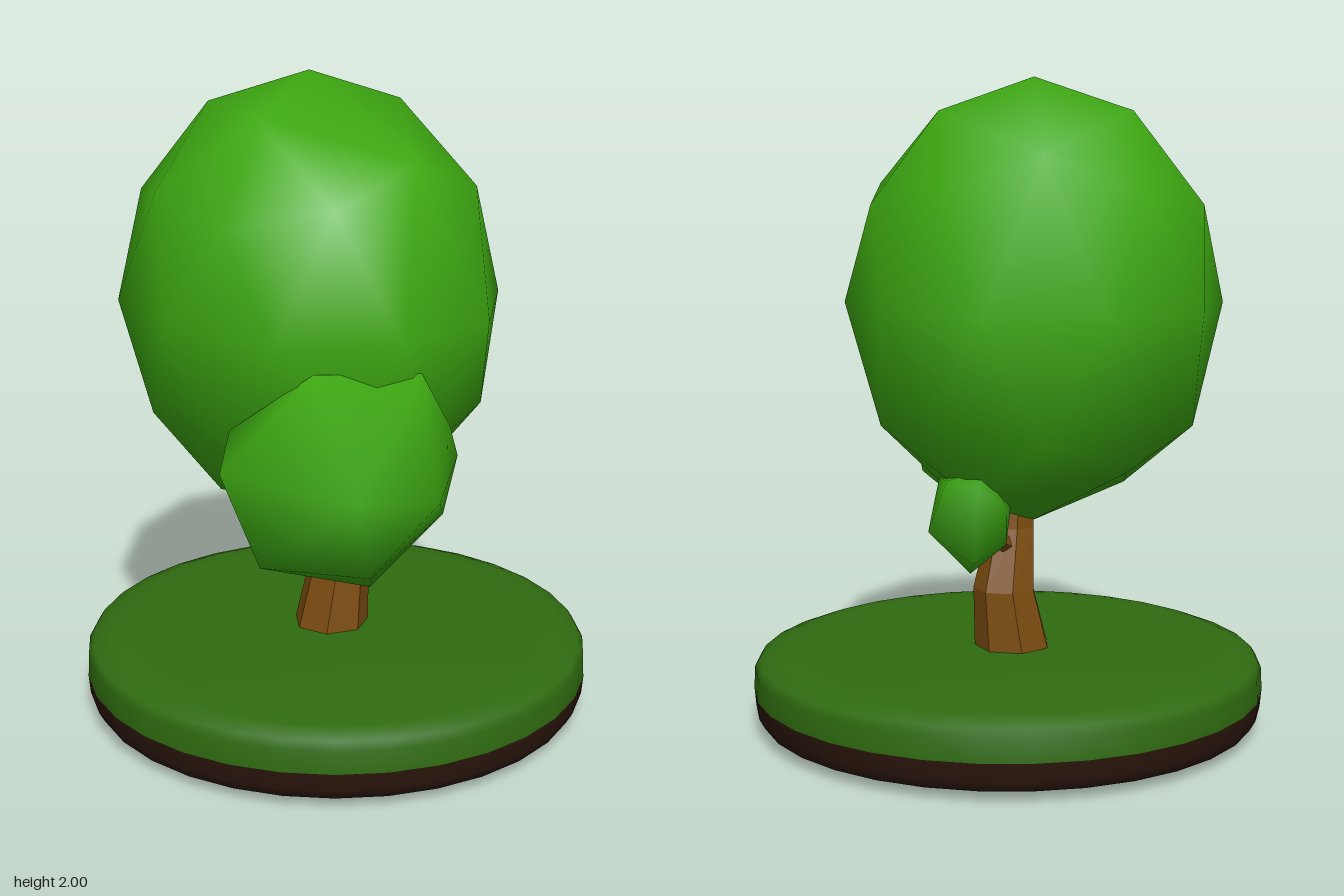
import * as THREE from 'three';
import { mergeVertices } from 'three/addons/utils/BufferGeometryUtils.js';
import { ConvexGeometry } from 'three/addons/geometries/ConvexGeometry.js';

const material = (color, flatShading = false) => new THREE.MeshStandardMaterial({ color, flatShading });
const leaf = material(0x3da811);
const bark = material(0x7d4d10, true);
const grass = material(0x2f6b10);
const soil = material(0x2b160c);

const V = (p) => new THREE.Vector3(...p);

// Weld the corners so that the normals are smooth
function smooth(geometry) {
  geometry.deleteAttribute('normal');
  geometry.deleteAttribute('uv');
  const welded = mergeVertices(geometry, 1e-4);
  welded.computeVertexNormals();
  return welded;
}

// Main crown: a coarse ball with a vertex on top and a few corners collapsed
function crownGeometry() {
  const ball = new THREE.IcosahedronGeometry(1, 1);
  ball.rotateZ(-Math.atan(2 / (1 + Math.sqrt(5))));
  ball.rotateY(THREE.MathUtils.degToRad(3));
  const collapsed = [[0.19, 0.68, -0.71], [0.26, 0.68, 0.69], [-0.26, -0.68, -0.69]].map(V);
  const pos = ball.attributes.position;
  const v = new THREE.Vector3();
  for (let i = 0; i < pos.count; i++) {
    v.fromBufferAttribute(pos, i);
    for (const c of collapsed) {
      if (v.distanceTo(c) < 0.33) v.copy(c);
    }
    pos.setXYZ(i, v.x, v.y, v.z);
  }
  ball.scale(0.575, 0.68, 0.63);
  ball.translate(-0.075, 1.32, -0.025);
  return smooth(ball);
}

// Tapered limb with a polygon section; each ring is [x, y, z, rx, rz]
function limbGeometry(rings, sides) {
  const points = [], index = [];
  rings.forEach(([x, y, z, rx, rz], j) => {
    for (let i = 0; i < sides; i++) {
      const a = ((i + 0.3) / sides) * Math.PI * 2;
      points.push(x + Math.cos(a) * rx, y, z + Math.sin(a) * rz);
      if (j === 0) continue;
      const n = (i + 1) % sides, lo = (j - 1) * sides, hi = j * sides;
      index.push(lo + i, hi + i, lo + n, lo + n, hi + i, hi + n);
    }
  });
  const g = new THREE.BufferGeometry();
  g.setAttribute('position', new THREE.Float32BufferAttribute(points, 3));
  g.setIndex(index);
  g.computeVertexNormals();
  return g;
}

// Straight thin branch between two points
function branchGeometry(from, to, r0, r1) {
  const a = V(from), b = V(to), dir = b.clone().sub(a);
  const g = new THREE.CylinderGeometry(r1, r0, dir.length(), 5);
  g.applyQuaternion(new THREE.Quaternion().setFromUnitVectors(new THREE.Vector3(0, 1, 0), dir.normalize()));
  const mid = a.add(b).multiplyScalar(0.5);
  return g.translate(mid.x, mid.y, mid.z);
}

export function createModel() {
  const tree = new THREE.Group();
  tree.name = 'tree';
  const add = (name, geometry, mat) => {
    const mesh = new THREE.Mesh(geometry, mat);
    mesh.name = name;
    tree.add(mesh);
  };
  const disc = (profile) => new THREE.LatheGeometry(profile.map(([r, y]) => new THREE.Vector2(r, y)), 32);

  // Round base: soil below, turf above
  add('soil', disc([[0, 0], [0.64, 0.01], [0.72, 0.016], [0.77, 0.033], [0.788, 0.065], [0.793, 0.12]]), soil);
  add('turf', disc([[0.793, 0.12], [0.79, 0.19], [0.775, 0.215], [0.72, 0.236], [0.64, 0.243], [0, 0.245]]), grass);

  // Bent trunk and two branches
  add('trunk', limbGeometry([
    [-0.015, 0.22, -0.015, 0.122, 0.12],
    [0.015, 0.43, -0.015, 0.097, 0.102],
    [-0.015, 0.62, 0.005, 0.075, 0.068],
    [-0.03, 0.85, 0.01, 0.06, 0.055],
  ], 7), bark);
  add('frontBranch', branchGeometry([-0.01, 0.55, 0.02], [-0.08, 0.68, 0.28], 0.035, 0.02), bark);
  add('backBranch', branchGeometry([0, 0.56, -0.02], [0.15, 0.65, -0.2], 0.03, 0.018), bark);

  // Foliage
  add('crown', crownGeometry(), leaf);
  const frontBush = [
    [-0.06, 0.53, 0.41], [-0.42, 0.66, 0.45], [-0.15, 0.65, 0.62], [-0.23, 0.91, 0.72],
    [0.05, 0.86, 0.65], [0.17, 0.73, 0.42], [0.2, 0.92, 0.45], [-0.51, 0.93, 0.37],
    [-0.47, 1.05, 0.35], [-0.29, 1.245, 0.54], [0.03, 1.22, 0.56], [0.15, 1.03, 0.5],
    [0.14, 0.75, 0.22], [-0.4, 0.75, 0.22], [-0.02, 0.64, 0.12], [-0.1, 1.1, 0.1],
  ];
  const backBush = [
    [0.17, 0.52, -0.18], [0.305, 0.66, -0.2], [0.26, 0.82, -0.25], [0.2, 0.58, -0.32],
    [0.2, 0.81, -0.38], [0.07, 0.61, -0.22], [0.12, 0.62, -0.04], [0.24, 0.8, -0.08],
    [0.15, 0.85, -0.25], [0.05, 0.72, -0.2], [0.1, 0.78, -0.08], [0.26, 0.62, -0.1], [0.1, 0.75, -0.33],
  ];
  add('frontBush', smooth(new ConvexGeometry(frontBush.map(V))), leaf);
  add('backBush', smooth(new ConvexGeometry(backBush.map(V))), leaf);
  return tree;
}
